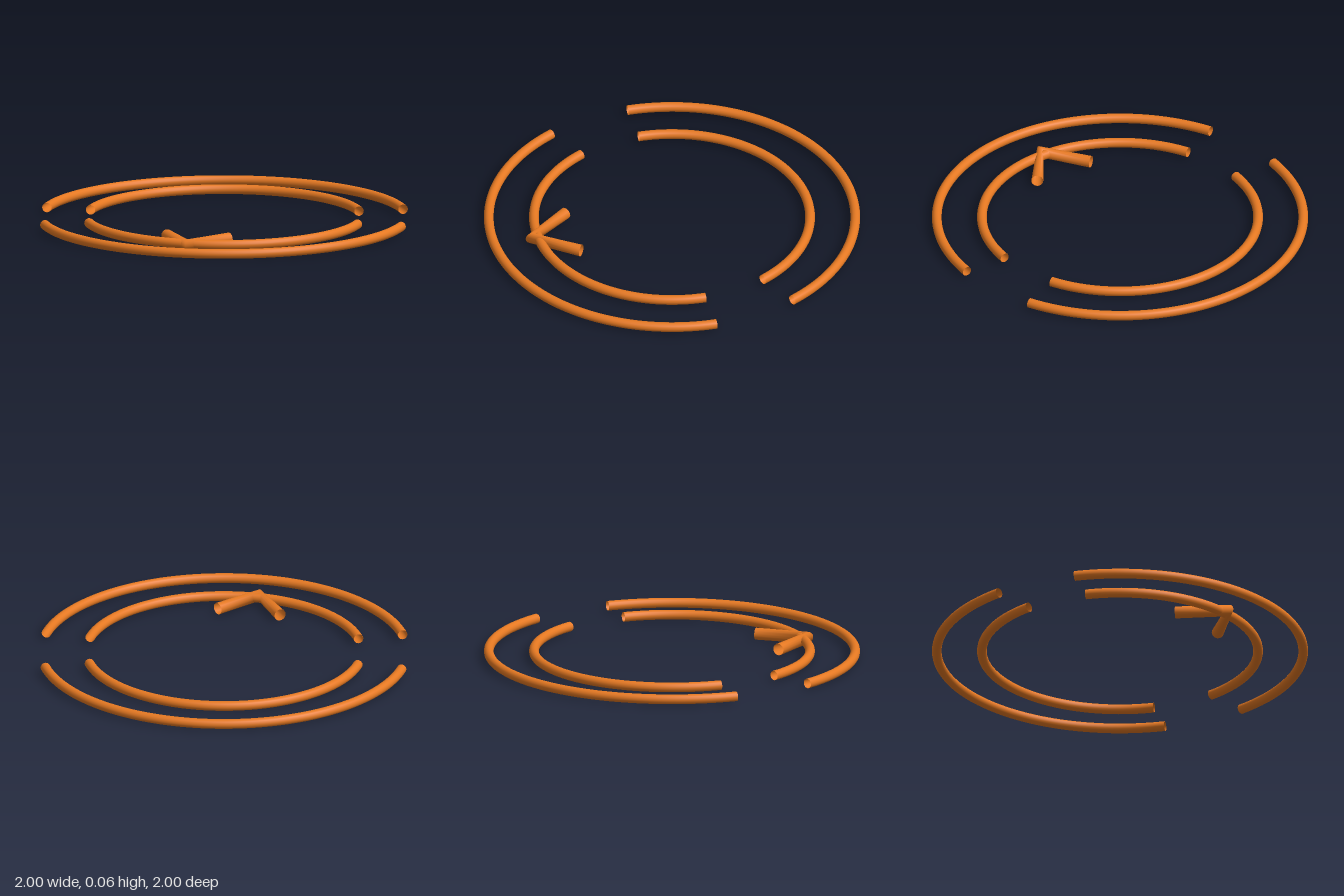
import * as THREE from 'three';

export function createModel() {
  const model = new THREE.Group();
  const orange = new THREE.MeshStandardMaterial({ color: 0xe67922, side: THREE.DoubleSide });
  orange.name = 'orange';

  const midY = 0.034;
  const tubeRadius = 0.026;
  const sweep = Math.PI * 0.85;

  const add = (geometry, name) => {
    const mesh = new THREE.Mesh(geometry, orange);
    mesh.name = name;
    mesh.position.y = midY;
    model.add(mesh);
    return mesh;
  };

  // Two concentric broken rings, each made of two open-ended arcs half a turn apart
  for (const [ring, radius] of [['outer', 0.974], ['inner', 0.734]]) {
    const arc = new THREE.TorusGeometry(radius, tubeRadius, 16, 72, sweep).rotateX(Math.PI / 2);
    add(arc, ring + 'FrontArc');
    add(arc, ring + 'BackArc').rotation.y = Math.PI;
  }

  // Sharp V pointer on the front of the inner ring, pinched at its tip
  const left = new THREE.Vector3(0.171, 0, 0.54);
  const tip = new THREE.Vector3(0, 0, 0.77);
  const right = new THREE.Vector3(-0.171, 0, 0.54);
  const path = new THREE.CurvePath();
  path.add(new THREE.LineCurve3(left, tip));
  path.add(new THREE.LineCurve3(tip, right));
  add(new THREE.TubeGeometry(path, 2, 0.032, 16, false), 'pointer');

  return model;
}
